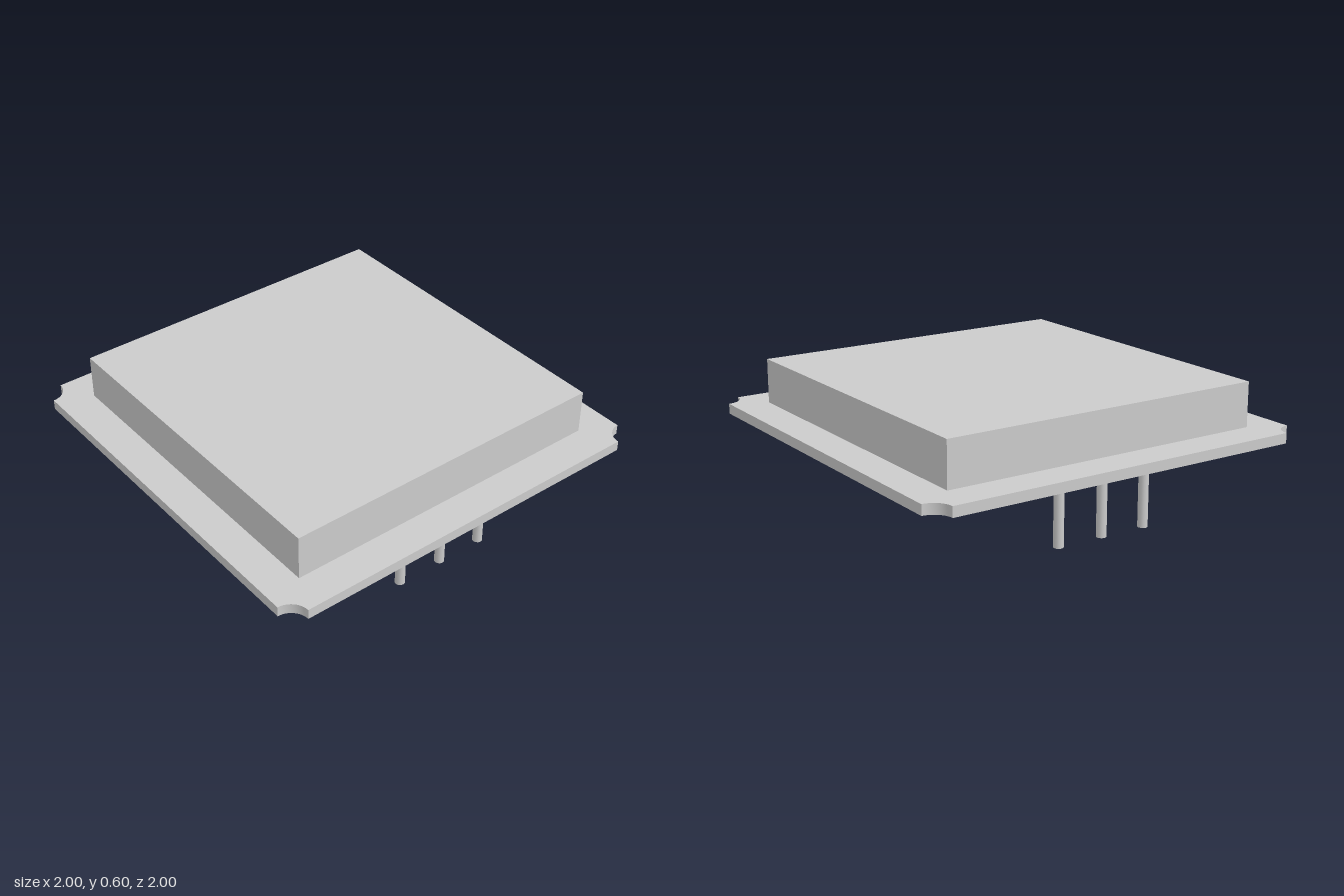
import * as THREE from 'three';
import { toCreasedNormals } from 'three/addons/utils/BufferGeometryUtils.js';

export function createModel() {
  const model = new THREE.Group();
  const material = new THREE.MeshStandardMaterial({ color: 0xcccccc });

  function add(name, geometry, x, y, z) {
    const mesh = new THREE.Mesh(geometry, material);
    mesh.name = name;
    mesh.position.set(x, y, z);
    model.add(mesh);
    return mesh;
  }

  // Square board with a concave quarter-round notch at each corner
  const notch = 0.09;
  const outline = new THREE.Shape();
  outline.moveTo(-1 + notch, -1);
  [[1, -1], [1, 1], [-1, 1], [-1, -1]].forEach(([x, y], i) => {
    const start = Math.PI * (1 + i / 2);
    outline.absarc(x, y, notch, start, start - Math.PI / 2, true);
  });
  const boardGeometry = new THREE.ExtrudeGeometry(outline, {
    depth: 0.05, bevelEnabled: false, curveSegments: 6,
  });
  boardGeometry.rotateX(-Math.PI / 2);
  add('board', toCreasedNormals(boardGeometry, 0.6), 0, 0.33, 0);

  // Raised cover on top of the board
  add('cover', new THREE.BoxGeometry(1.65, 0.22, 1.65), 0, 0.49, 0);

  // Two rows of three pins, each with a square spacer under the board
  const spacerGeometry = new THREE.BoxGeometry(0.14, 0.05, 0.14);
  const pinGeometry = new THREE.CylinderGeometry(0.024, 0.024, 0.28, 12);
  for (const x of [-0.795, 0.795]) {
    for (const z of [-0.236, 0, 0.236]) {
      add('pinSpacer', spacerGeometry, x, 0.305, z);
      add('pin', pinGeometry, x, 0.14, z);
    }
  }
  return model;
}
